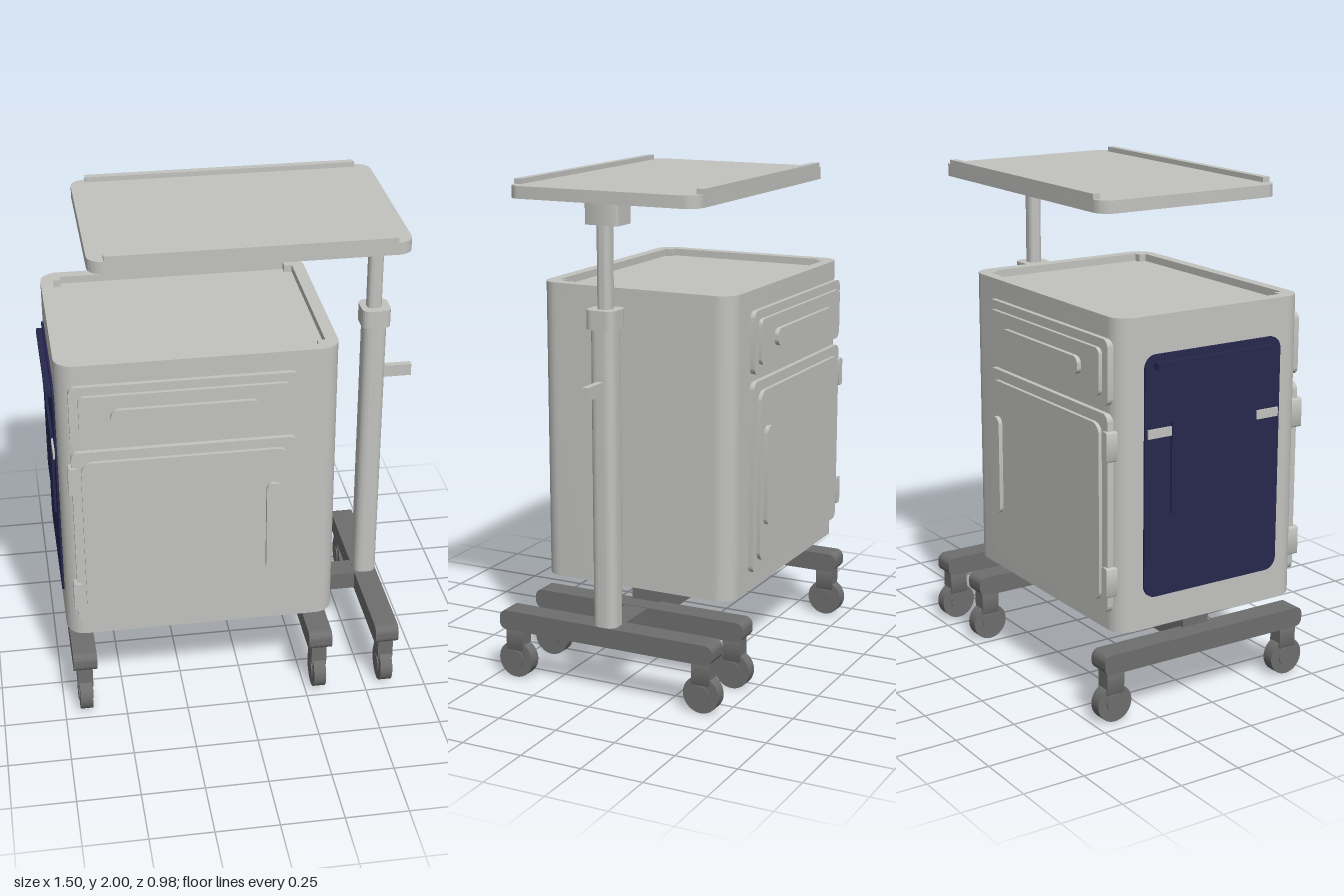
import * as THREE from 'three';
import { toCreasedNormals } from 'three/addons/utils/BufferGeometryUtils.js';

const shell = new THREE.MeshStandardMaterial({ color: 0xc2c2bf });
shell.name = 'light grey shell';
const frame = new THREE.MeshStandardMaterial({ color: 0x6e6e6e });
frame.name = 'dark grey frame';
const navy = new THREE.MeshStandardMaterial({ color: 0x27274f });
navy.name = 'navy panel';

// Rounded rectangle centred on the origin
function roundRect(w, h, r) {
  const s = new THREE.Shape(), x = w / 2, y = h / 2, q = Math.PI / 2;
  s.absarc(x - r, y - r, r, 0, q);
  s.absarc(-x + r, y - r, r, q, 2 * q);
  s.absarc(-x + r, -y + r, r, 2 * q, 3 * q);
  s.absarc(x - r, -y + r, r, 3 * q, 4 * q);
  s.closePath();
  return s;
}

// Extrusion centred on its depth, lying along the given axis
function prism(shape, depth, axis) {
  const g = new THREE.ExtrudeGeometry(shape, { depth, bevelEnabled: false, curveSegments: 10 });
  g.translate(0, 0, -depth / 2);
  if (axis === 'y') g.rotateX(-Math.PI / 2);
  if (axis === 'x') g.rotateY(Math.PI / 2);
  return toCreasedNormals(g, 0.6);
}

export function createModel() {
  const model = new THREE.Group();
  model.name = 'bedsideCabinet';

  function add(parent, name, geometry, material) {
    const m = new THREE.Mesh(geometry, material);
    m.name = name;
    parent.add(m);
    return m;
  }

  // Part from its bounds, with corners rounded around the given axis
  function part(parent, name, material, [x0, x1], [y0, y1], [z0, z1], axis, r) {
    const w = x1 - x0, h = y1 - y0, d = z1 - z0;
    let g;
    if (!r) g = new THREE.BoxGeometry(w, h, d);
    else if (axis === 'y') g = prism(roundRect(w, d, r), h, 'y');
    else if (axis === 'x') g = prism(roundRect(d, h, r), w, 'x');
    else g = prism(roundRect(w, h, r), d, 'z');
    g.translate((x0 + x1) / 2, (y0 + y1) / 2, (z0 + z1) / 2);
    return add(parent, name, g, material);
  }

  // Cabinet body with a shallow tray in its top
  const cabinet = new THREE.Group();
  cabinet.name = 'cabinet';
  model.add(cabinet);
  part(cabinet, 'cabinetBody', shell, [-0.72, 0.365], [0.365, 1.545], [-0.42, 0.42], 'y', 0.075);
  const rim = roundRect(1.085, 0.84, 0.075);
  const a = 0.493, b = 0.375, n = 0.032;
  const notched = [[a - n, b], [a - n, b - n], [a, b - n]];
  const corners = [
    ...notched,
    ...notched.map(([x, y]) => [x, -y]).reverse(),
    ...notched.map(([x, y]) => [-x, -y]),
    ...notched.map(([x, y]) => [-x, y]).reverse(),
  ];
  rim.holes.push(new THREE.Path(corners.map(([x, y]) => new THREE.Vector2(x, y))));
  const rimGeometry = prism(rim, 0.03, 'y');
  rimGeometry.translate(-0.1775, 1.56, 0);
  add(cabinet, 'trayRim', rimGeometry, shell);

  // Drawer and door on both faces
  for (const s of [1, -1]) {
    const face = new THREE.Group();
    face.name = s > 0 ? 'frontFace' : 'backFace';
    cabinet.add(face);
    const z = (p, q) => (s > 0 ? [p, q] : [-q, -p]);
    part(face, 'drawerFrame', shell, [-0.675, 0.2], [1.245, 1.495], z(0.41, 0.44), 'z', 0.03);
    part(face, 'drawerPanel', shell, [-0.64, 0.165], [1.28, 1.46], z(0.43, 0.455), 'z', 0.025);
    part(face, 'drawerHandle', shell, [-0.52, 0.045], [1.335, 1.405], z(0.45, 0.472), 'z', 0.03);
    part(face, 'doorFrame', shell, [-0.675, 0.2], [0.44, 1.215], z(0.41, 0.44), 'z', 0.03);
    part(face, 'doorPanel', shell, [-0.64, 0.165], [0.48, 1.175], z(0.43, 0.455), 'z', 0.045);
    part(face, 'doorHandle', shell, [0.075, 0.135], [0.625, 1.03], z(0.45, 0.472), 'z', 0.029);
    for (const y of [0.567, 1.095])
      part(face, 'hinge', shell, [-0.69, -0.655], [y - 0.058, y + 0.058], z(0.4, 0.453), 'z', 0.008);
  }

  // Side panel with grip and pouch
  const side = new THREE.Group();
  side.name = 'sidePanel';
  cabinet.add(side);
  part(side, 'panel', navy, [-0.728, -0.719], [0.49, 1.43], [-0.31, 0.31], 'x', 0.05);
  part(side, 'panelGrip', navy, [-0.752, -0.725], [1.375, 1.402], [-0.27, 0.27]);
  part(side, 'pouch', navy, [-0.738, -0.727], [0.81, 1.17], [-0.195, 0.195]);
  for (const z of [-0.247, 0.247])
    part(side, 'pouchClip', shell, [-0.736, -0.727], [1.115, 1.15], [z - 0.052, z + 0.052]);

  // Wheeled base
  const base = new THREE.Group();
  base.name = 'base';
  model.add(base);
  part(base, 'spine', frame, [-0.66, 0.59], [0.207, 0.283], [-0.05, 0.05]);
  for (const x of [-0.58, 0.225])
    part(base, 'cabinetPost', frame, [x - 0.05, x + 0.05], [0.28, 0.367], [-0.06, 0.06]);

  for (const [barX, wheelX] of [[-0.66, -0.662], [0.308, 0.306], [0.587, 0.587]]) {
    part(base, 'crossbar', frame, [barX - 0.048, barX + 0.048], [0.205, 0.285], [-0.47, 0.47], 'x', 0.03);
    for (const s of [1, -1]) {
      const caster = new THREE.Group();
      caster.name = 'caster';
      caster.position.set(wheelX, 0, s * 0.413);
      base.add(caster);
      part(caster, 'casterFork', frame, [-0.031, 0.031], [0.115, 0.21], [-0.038, 0.038], 'z', 0.006);
      for (const [name, r, w] of [['wheel', 0.075, 0.05], ['wheelHub', 0.036, 0.06]]) {
        const g = new THREE.CylinderGeometry(r, r, w, 32);
        g.rotateZ(Math.PI / 2);
        add(caster, name, g, frame).position.y = 0.075;
      }
    }
  }

  // Telescopic column
  const column = new THREE.Group();
  column.name = 'column';
  model.add(column);
  part(column, 'outerTube', shell, [0.54, 0.635], [0.285, 1.5], [-0.05, 0.05], 'y', 0.035);
  part(column, 'collar', shell, [0.53, 0.647], [1.46, 1.535], [-0.06, 0.06], 'y', 0.03);
  part(column, 'innerTube', shell, [0.555, 0.615], [1.5, 1.87], [-0.028, 0.028], 'y', 0.022);
  part(column, 'tableBracket', shell, [0.51, 0.617], [1.85, 1.935], [-0.07, 0.07], 'y', 0.008);
  part(column, 'lever', shell, [0.63, 0.75], [1.213, 1.263], [-0.013, 0.013]);

  // Overbed table
  const table = new THREE.Group();
  table.name = 'overbedTable';
  model.add(table);
  part(table, 'tableTop', shell, [-0.58, 0.632], [1.932, 1.98], [-0.4, 0.4], 'y', 0.06);
  for (const s of [1, -1])
    part(table, 'tableRail', shell, [-0.52, 0.57], [1.975, 2.0],
      s > 0 ? [0.37, 0.4] : [-0.4, -0.37]);

  return model;
}
